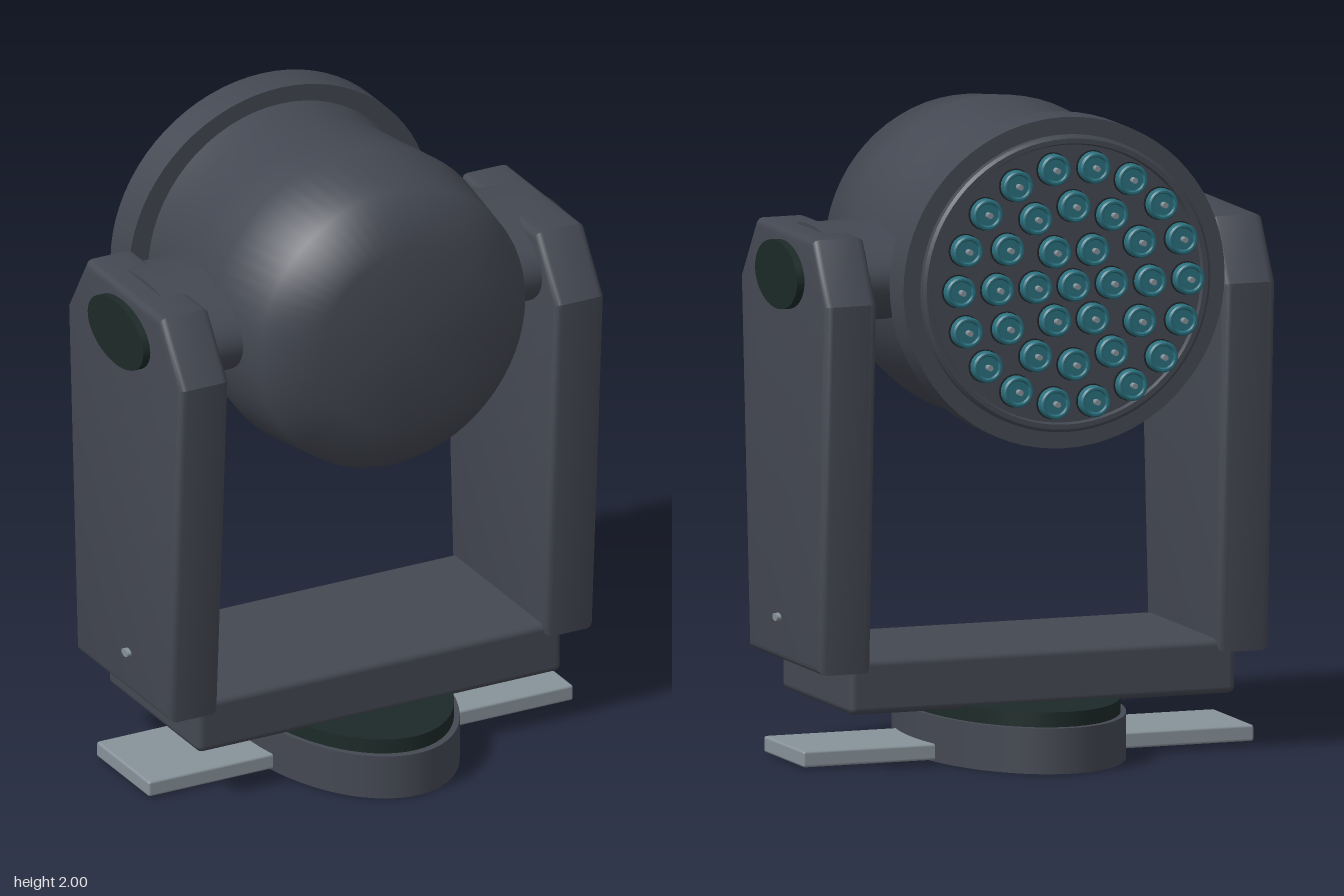
import * as THREE from 'three';
import { toCreasedNormals } from 'three/addons/utils/BufferGeometryUtils.js';
import { RoundedBoxGeometry } from 'three/addons/geometries/RoundedBoxGeometry.js';

export function createModel() {
  const model = new THREE.Group();
  const mat = (name, color) => {
    const m = new THREE.MeshStandardMaterial({ color });
    m.name = name;
    return m;
  };
  const housing = mat('charcoal housing', 0x444852);
  const dark = mat('dark green trim', 0x1c2a28);
  const metal = mat('light grey metal', 0x87929a);
  const teal = mat('teal lens', 0x2a6f7d);
  const black = mat('black lens rim', 0x1d2023);

  const add = (name, geo, material, x = 0, y = 0, z = 0, parent = model) => {
    const mesh = new THREE.Mesh(geo, material);
    mesh.name = name;
    mesh.position.set(x, y, z);
    parent.add(mesh);
    return mesh;
  };
  // Revolved profile of [radius, z] pairs along the z axis
  const turned = (pts, seg = 64) => new THREE.LatheGeometry(
    pts.map(([r, z]) => new THREE.Vector2(r, z)), seg).rotateX(Math.PI / 2);
  // Elliptical cylinder lying along x
  const ellipseX = (ry, rz, length) => new THREE.CylinderGeometry(1, 1, length, 48)
    .rotateZ(Math.PI / 2).scale(1, ry, rz);

  // Oval base with a darker turntable on top
  add('base', new THREE.CylinderGeometry(1, 1, 0.14, 64).scale(0.32, 1, 0.532), housing, 0, 0.07, 0.024);
  add('turntable', new THREE.CylinderGeometry(1, 1, 0.047, 64).scale(0.305, 1, 0.508), dark, 0, 0.1625, 0.024);

  // Bottom bar of the yoke
  add('yokeBar', new RoundedBoxGeometry(1.25, 0.17, 0.58, 3, 0.022), housing, 0, 0.26, 0.025);

  // Tapered yoke arm, outlined in (z, y) and extruded along x
  const outline = new THREE.Shape([
    [0.325, 0.305], [0.396, 1.44], [0.262, 1.63], [-0.215, 1.63], [-0.332, 1.44], [-0.275, 0.305],
  ].map(([z, y]) => new THREE.Vector2(z, y)));
  const bevel = 0.024;
  const armGeo = toCreasedNormals(new THREE.ExtrudeGeometry(outline, {
    depth: 0.17 - 2 * bevel, bevelThickness: bevel, bevelSize: bevel,
    bevelOffset: -bevel, bevelSegments: 3,
  }).translate(0, 0, -(0.17 - 2 * bevel) / 2).rotateY(-Math.PI / 2), 0.6);

  for (const s of [1, -1]) {
    const side = s > 0 ? 'left' : 'right';
    add(side + 'FootPlate', new RoundedBoxGeometry(0.46, 0.05, 0.335, 2, 0.008), metal, s * 0.5, 0.03, 0.025);
    add(side + 'Arm', armGeo, housing, s * 0.645, 0, 0);
    add(side + 'Axle', ellipseX(0.148, 0.29, 0.27), housing, s * 0.515, 1.494, 0.016);
    add(side + 'AxleCap', ellipseX(0.104, 0.177, 0.04), dark, s * 0.734, 1.493, 0.025);
    add(side + 'ArmScrew', ellipseX(0.012, 0.02, 0.03), metal, s * 0.729, 0.438, 0.063);
  }

  // Lamp head: domed shell, wide collar and stepped bezel
  const head = new THREE.Group();
  head.name = 'lampHead';
  head.position.y = 1.493;
  model.add(head);
  add('headShell', turned([
    [0.455, -0.34], [0.446, -0.22], [0.466, -0.05], [0.49, 0.14], [0.456, 0.392], [0.295, 0.486], [0, 0.486],
  ]), housing, 0, 0, 0, head);
  add('collar', toCreasedNormals(turned([
    [0, -0.44], [0.507, -0.44], [0.507, -0.323], [0, -0.323],
  ], 72), 0.6).scale(1.026, 1, 1), housing, 0, 0, 0, head);
  add('bezel', toCreasedNormals(turned([
    [0, -0.458], [0.425, -0.458], [0.43, -0.47], [0.445, -0.47], [0.454, -0.462], [0.454, -0.435],
  ], 72), 0.6).scale(1.025, 1, 1), housing, 0, 0, 0, head);

  // Lamps in concentric rings of 1, 6, 12 and 18
  const rimGeo = new THREE.CylinderGeometry(0.051, 0.051, 0.008, 24).rotateX(Math.PI / 2);
  const lensGeo = toCreasedNormals(turned([
    [0, -0.538], [0.033, -0.538], [0.037, -0.545], [0.043, -0.545], [0.048, -0.539], [0.048, -0.512],
  ], 24), 0.5);
  const pinGeo = new THREE.CylinderGeometry(0.009, 0.009, 0.03, 10).rotateX(Math.PI / 2);
  for (let ring = 0; ring < 4; ring++) {
    const count = ring === 0 ? 1 : ring * 6;
    for (let i = 0; i < count; i++) {
      const a = (i / count) * Math.PI * 2;
      const lamp = new THREE.Group();
      lamp.name = 'lamp';
      lamp.position.set(Math.cos(a) * ring * 0.1235, Math.sin(a) * ring * 0.121 + 0.004, 0);
      head.add(lamp);
      add('lensRim', rimGeo, black, 0, 0, -0.509, lamp);
      add('lens', lensGeo, teal, 0, 0, 0, lamp);
      add('lensPin', pinGeo, metal, 0, 0, -0.545, lamp);
    }
  }
  return model;
}
